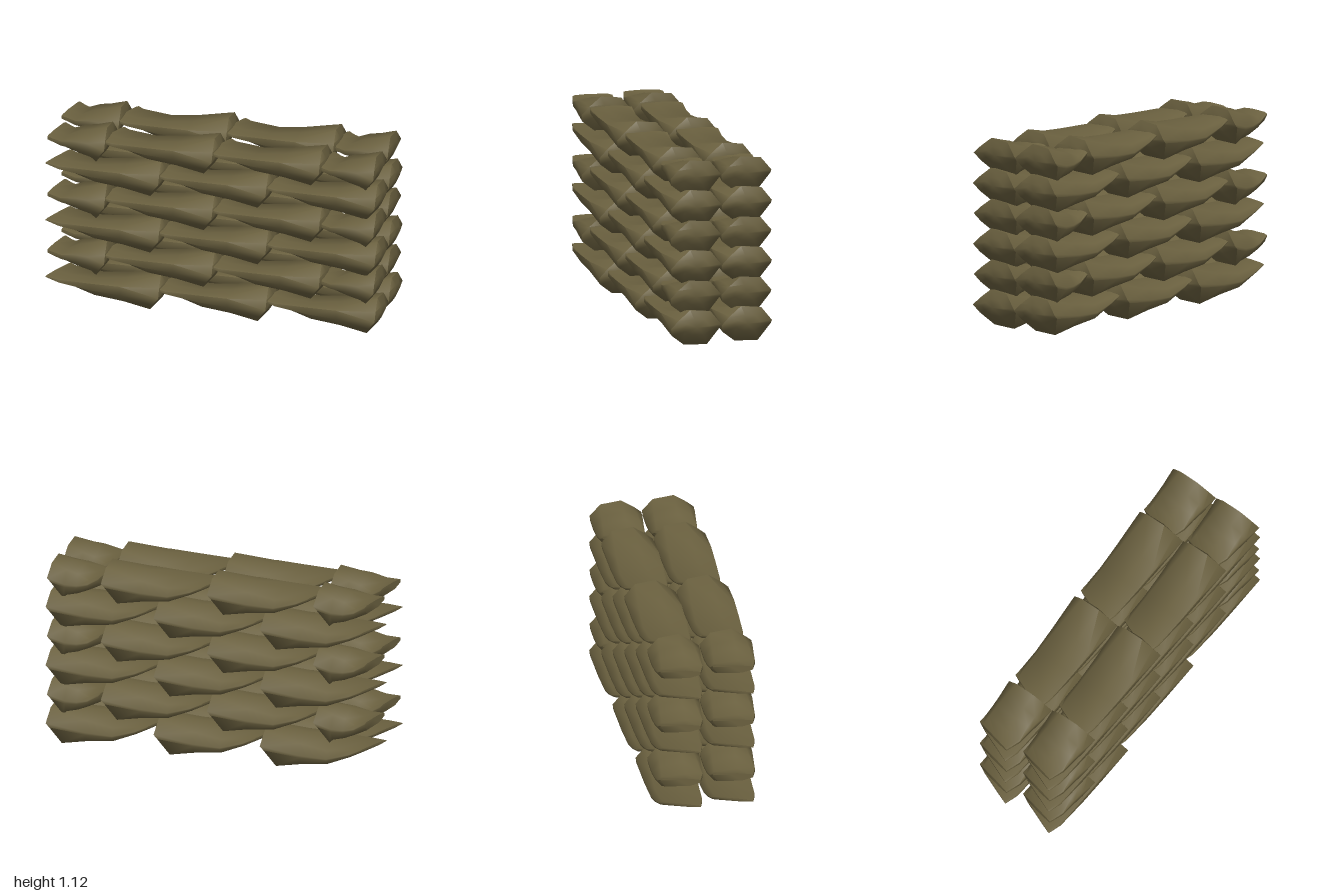
import * as THREE from 'three';
import { toCreasedNormals } from 'three/addons/utils/BufferGeometryUtils.js';

// Bag outline around its length: [across 0..1, height -1 (bottom) .. 1 (top)]
const RING = [[1, 0], [0.84, 0.45], [0.6, 1], [0.2, 0.86], [0, 0.08],
  [0, -0.12], [0.2, -1], [0.67, -0.92], [0.94, -0.4]];

// Stations from tail to butt:
// [along 0..1, top, side, bottom, width, squareness, drop of the back seam]
const LONG = [
  [0, 0.168, 0.162, 0.15, 0.24, 1.3, 0],
  [0.13, 0.167, 0.16, 0.115, 0.265, 1.4, 0.03],
  [0.4, 0.168, 0.163, 0.057, 0.28, 1.4, 0.075],
  [0.65, 0.192, 0.168, 0.035, 0.29, 1.25, 0.075],
  [0.965, 0.226, 0.125, 0, 0.305, 1, 0],
];
const SHORT = [
  [0, 0.16, 0.15, 0.108, 0.24, 1.3, 0],
  [0.26, 0.147, 0.142, 0.075, 0.27, 1.35, 0.03],
  [0.5, 0.19, 0.155, 0.045, 0.28, 1.25, 0.06],
  [0.7, 0.207, 0.155, 0.025, 0.29, 1.15, 0.06],
  [0.955, 0.222, 0.125, 0, 0.305, 1, 0],
];

function bagGeometry(stations, length, slant) {
  const pos = [], index = [], n = RING.length;
  stations.forEach(([u, top, side, bottom, width, square, drop], i) => {
    const last = i === stations.length - 1;
    for (const [across, h] of RING) {
      const w = THREE.MathUtils.clamp(0.5 + (across - 0.5) * square, 0, 1);
      const z = w * width + (1 - w) * (1 - u) * 0.015;
      const sag = drop * (1 - w); // cloth drapes towards the back
      const seam = side - sag;
      const y = seam + h * (h > 0 ? top - 0.35 * sag - seam : seam - bottom);
      let x = u * length;
      x += Math.max(0, 1 - u / 0.45) * (0.23 - z) * slant; // oblique tail hem
      if (last) x += h < 0 ? h * 0.065 : 0.015 * (1 - h); // butt tucks under
      pos.push(x, y, z);
    }
  });
  // shallow bulge closing the butt
  for (const [w, h] of RING) {
    pos.push(length * 0.995 + Math.min(0, h) * 0.02, 0.125 + h * 0.05, 0.15 + (w - 0.5) * 0.16);
  }
  const rings = stations.length + 1;
  for (let i = 0; i < rings - 1; i++) {
    for (let j = 0; j < n; j++) {
      const k = (j + 1) % n, a = i * n + j, b = i * n + k;
      index.push(a, a + n, b + n, a, b + n, b);
    }
  }
  // end caps
  const tail = pos.length / 3, butt = tail + 1, s = stations[0];
  pos.push(0.115 * slant, s[2], 0.115, length, 0.125, 0.15);
  for (let j = 0; j < n; j++) {
    const k = (j + 1) % n, o = (rings - 1) * n;
    index.push(tail, j, k, butt, o + k, o + j);
  }
  const g = new THREE.BufferGeometry();
  g.setAttribute('position', new THREE.Float32BufferAttribute(pos, 3));
  g.setIndex(index);
  return toCreasedNormals(g, 1.2);
}

export function createModel() {
  const model = new THREE.Group();
  model.name = 'sandbagWall';
  const burlap = new THREE.MeshStandardMaterial({ color: 0x6a603f });
  burlap.name = 'oliveBurlap';

  const longBag = bagGeometry(LONG, 0.695, 0.4);
  const shortBag = bagGeometry(SHORT, 0.355, 0.22);

  // Running bond: odd courses of full bags, even courses closed with half bags
  const fullCourse = [[longBag, -0.994], [longBag, -0.353], [longBag, 0.298]];
  const splitCourse = [[longBag, -0.675], [longBag, -0.035], [shortBag, -0.985], [shortBag, 0.622]];

  [['frontStack', 0.002], ['backStack', -0.306]].forEach(([name, z]) => {
    const stack = new THREE.Group();
    stack.name = name;
    for (let row = 0; row < 6; row++) {
      for (const [geometry, x] of row % 2 ? splitCourse : fullCourse) {
        const bag = new THREE.Mesh(geometry, burlap);
        bag.name = geometry === longBag ? 'sandbag' : 'halfSandbag';
        bag.position.set(x, row * 0.178, z);
        stack.add(bag);
      }
    }
    model.add(stack);
  });
  return model;
}
